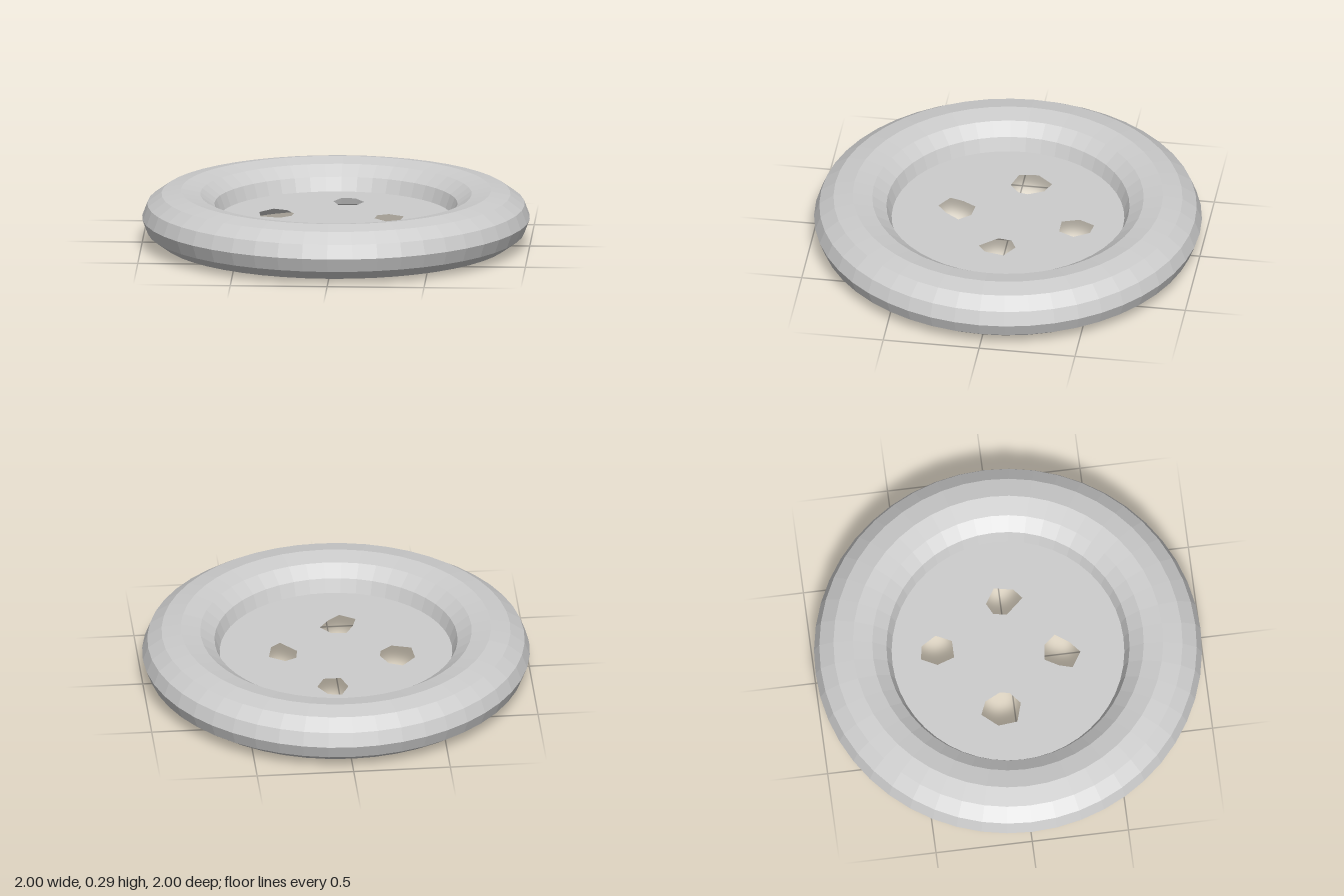
import * as THREE from 'three';

const HALF_HEIGHT = 0.143;

// Outlines of the irregular thread holes, as [x, z] corners
const holes = [
  [[0.01, -0.45], [0.08, -0.44], [0.13, -0.36], [0.09, -0.28], [0, -0.28], [-0.03, -0.37]],
  [[-0.33, -0.18], [-0.26, -0.15], [-0.22, -0.07], [-0.23, -0.02], [-0.29, 0.03], [-0.39, 0], [-0.4, -0.1]],
  [[0.27, -0.08], [0.35, -0.03], [0.33, 0.07], [0.28, 0.11], [0.2, 0.02], [0.21, -0.05]],
  [[-0.07, 0.18], [0.01, 0.19], [0.06, 0.25], [0.01, 0.32], [-0.05, 0.37], [-0.13, 0.32], [-0.11, 0.25]],
];

export function createModel() {
  const group = new THREE.Group();
  group.name = 'button';

  // Rounded rim: a faceted torus flattened vertically
  const rimGeometry = new THREE.TorusGeometry(0.8, 0.2, 12, 48);
  rimGeometry.rotateX(-Math.PI / 2);
  rimGeometry.scale(1, HALF_HEIGHT / 0.2, 1);
  const rim = new THREE.Mesh(
    rimGeometry,
    new THREE.MeshStandardMaterial({ color: 0xcccccc, flatShading: true })
  );
  rim.name = 'rim';
  rim.position.y = HALF_HEIGHT;
  group.add(rim);

  // Thin centre disc with four holes, meeting the rim at its inner edge
  const outline = Array.from({ length: 48 }, (_, i) => {
    const a = (i / 48) * Math.PI * 2;
    return new THREE.Vector2(0.6 * Math.cos(a), 0.6 * Math.sin(a));
  });
  const shape = new THREE.Shape(outline);
  for (const corners of holes) {
    shape.holes.push(new THREE.Path(corners.map(([x, z]) => new THREE.Vector2(x, z))));
  }
  const discGeometry = new THREE.ShapeGeometry(shape);
  discGeometry.rotateX(Math.PI / 2);
  const disc = new THREE.Mesh(
    discGeometry,
    new THREE.MeshStandardMaterial({ color: 0xcccccc, flatShading: true, side: THREE.DoubleSide })
  );
  disc.name = 'centreDisc';
  disc.position.y = HALF_HEIGHT;
  group.add(disc);

  return group;
}
